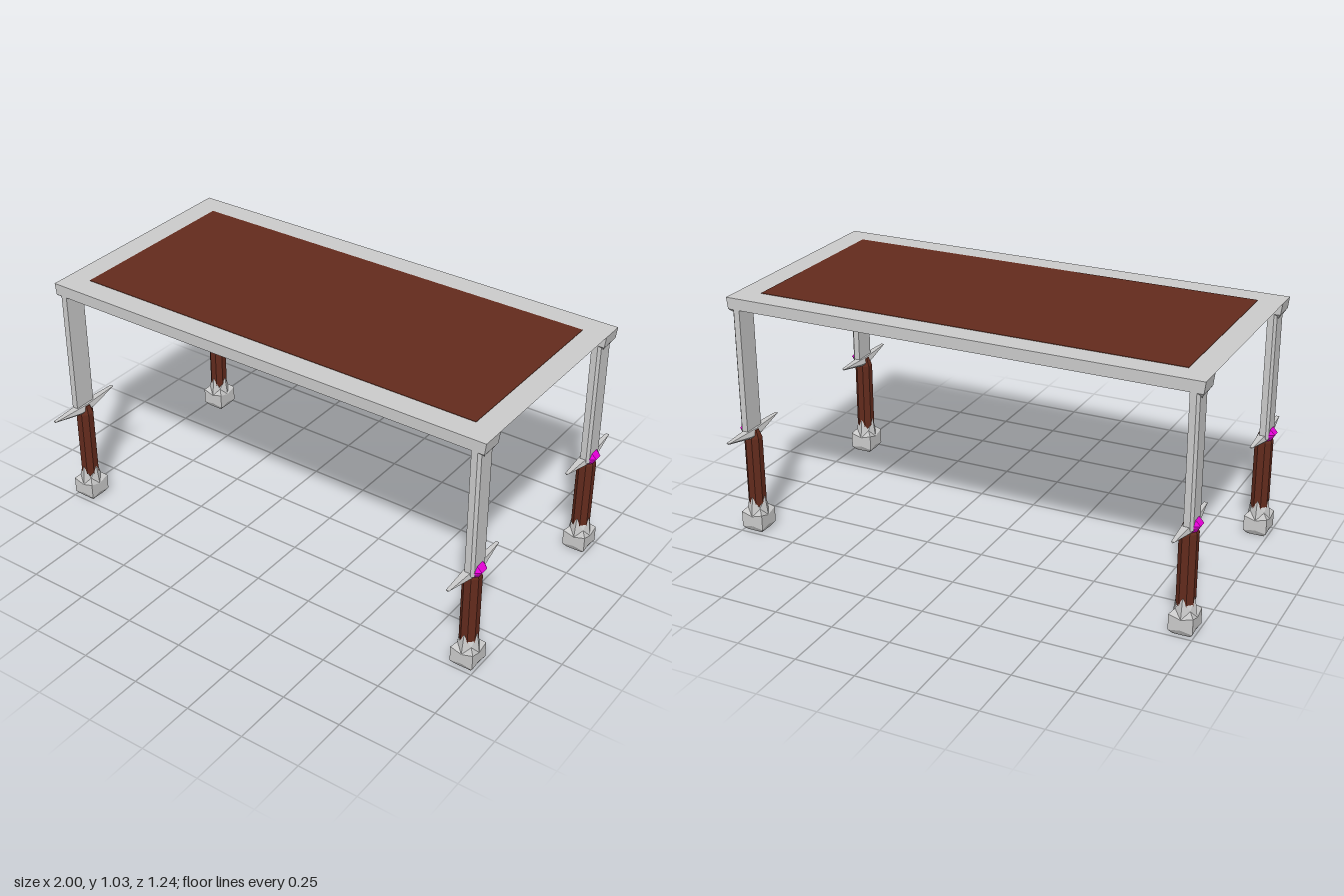
import * as THREE from 'three';
import { ConvexGeometry } from 'three/addons/geometries/ConvexGeometry.js';

const mat = (color) => new THREE.MeshStandardMaterial({ color, flatShading: true });
const grey = mat(0xcccccc), brown = mat(0x632b1d), magenta = mat(0xe600d8);

function add(parent, name, geometry, material) {
  const mesh = new THREE.Mesh(geometry, material);
  mesh.name = name;
  parent.add(mesh);
  return mesh;
}

const hull = (points) => new ConvexGeometry(points.map((p) => new THREE.Vector3(...p)));

// Prism from an outline of [x, y] points
function prism(outline, depth) {
  const shape = new THREE.Shape(outline.map(([x, y]) => new THREE.Vector2(x, y)));
  return new THREE.ExtrudeGeometry(shape, { depth, bevelEnabled: false });
}

// Eight-point rings, each [corner half-width, corner y, side half-width, side y], lofted and capped
function loftRings(rings) {
  const pos = [], index = [];
  for (const [c, cy, s, sy] of rings) {
    for (let i = 0; i < 8; i++) {
      const a = (i * Math.PI) / 4;
      const corner = i % 2 === 1;
      const r = corner ? c * Math.SQRT2 : s;
      pos.push(Math.cos(a) * r, corner ? cy : sy, Math.sin(a) * r);
    }
  }
  for (let k = 0; k < rings.length - 1; k++) {
    for (let i = 0; i < 8; i++) {
      const a = k * 8 + i, b = k * 8 + ((i + 1) % 8), c = a + 8, d = b + 8;
      // Diagonals run from the corners so both halves of a side mirror
      if (i % 2) index.push(a, c, b, b, c, d);
      else index.push(a, d, b, a, c, d);
    }
  }
  const top = (rings.length - 1) * 8;
  for (let i = 1; i < 7; i++) {
    index.push(0, i, i + 1);
    index.push(top, top + i + 1, top + i);
  }
  const g = new THREE.BufferGeometry();
  g.setAttribute('position', new THREE.Float32BufferAttribute(pos, 3));
  g.setIndex(index);
  const flat = g.toNonIndexed();
  flat.computeVertexNormals();
  return flat;
}

// One sword-shaped leg around the origin, outer side facing +x
function createLeg() {
  const leg = new THREE.Group();
  leg.name = 'swordLeg';

  // Pommel foot with a pointed petal on every side
  add(leg, 'pommelFoot', loftRings([
    [0.035, 0, 0.035, 0],
    [0.049, 0.018, 0.049, 0.026],
    [0.049, 0.085, 0.049, 0.07],
    [0.03, 0.105, 0.037, 0.155],
  ]), grey);

  // Octagonal grip, narrowed under the guard
  const grip = new THREE.CylinderGeometry(0.038, 0.038, 0.32, 8);
  grip.rotateY(Math.PI / 8).translate(0, 0.26, 0);
  add(leg, 'grip', grip, brown);
  const collar = new THREE.CylinderGeometry(0.024, 0.038, 0.035, 8);
  collar.rotateY(Math.PI / 8).translate(0, 0.4375, 0);
  add(leg, 'gripCollar', collar, brown);

  // Guard arms sweep up to thin tips
  for (const s of [-1, 1]) {
    add(leg, 'guardArm', hull([
      [-0.023, 0.435, 0], [0.023, 0.435, 0], [-0.014, 0.418, 0], [0.014, 0.418, 0],
      [-0.018, 0.46, 0], [0.018, 0.46, 0],
      [-0.022, 0.437, s * 0.04], [0.022, 0.437, s * 0.04],
      [-0.015, 0.452, s * 0.05], [0.015, 0.452, s * 0.05],
      [0, 0.423, s * 0.04],
      [-0.007, 0.459, s * 0.175], [0.007, 0.459, s * 0.175], [0, 0.453, s * 0.175],
    ]), grey);
  }

  // Faceted gem on the outer face
  add(leg, 'gem', hull([
    [0.015, 0.493, -0.02], [0.015, 0.493, 0.02],
    [0.015, 0.462, -0.048], [0.015, 0.462, 0.048],
    [0.015, 0.445, -0.045], [0.015, 0.445, 0.045],
    [0.015, 0.4, -0.004], [0.015, 0.4, 0.004],
    [0.049, 0.457, -0.018], [0.049, 0.457, 0.018],
  ]), magenta);

  // Blade with bevelled outer edges
  const blade = prism([
    [-0.008, 0.048], [-0.008, -0.048], [0.018, -0.048],
    [0.028, -0.036], [0.028, 0.036], [0.018, 0.048],
  ], 0.55);
  blade.rotateX(-Math.PI / 2).translate(0, 0.442, 0);
  add(leg, 'blade', blade, grey);

  // Bracket clasping the table corner
  add(leg, 'cornerBracket', hull([
    ...[-0.048, 0.048].flatMap((z) => [
      [0, 1.033, z], [0.05, 1.033, z], [0.044, 0.985, z], [0, 0.985, z],
    ]),
    [0.029, 0.96, -0.02], [0.029, 0.96, 0.02], [0.01, 0.96, -0.02], [0.01, 0.96, 0.02],
  ]), grey);
  return leg;
}

export function createModel() {
  const model = new THREE.Group();
  model.name = 'table';

  // Tabletop with undercut ends
  const top = prism([[-0.95, 0.985], [0.95, 0.985], [1, 1.033], [-1, 1.033]], 0.982);
  top.translate(0, 0, -0.491);
  add(model, 'tabletop', top, grey);

  // Wooden inlay
  const inlay = add(model, 'inlay', new THREE.BoxGeometry(1.8, 0.01, 0.786), brown);
  inlay.position.y = 1.03;

  for (const x of [-1, 1]) {
    for (const z of [-1, 1]) {
      const leg = createLeg();
      leg.position.set(x * 0.95, 0, z * 0.443);
      if (x < 0) leg.rotation.y = Math.PI;
      model.add(leg);
    }
  }
  return model;
}
